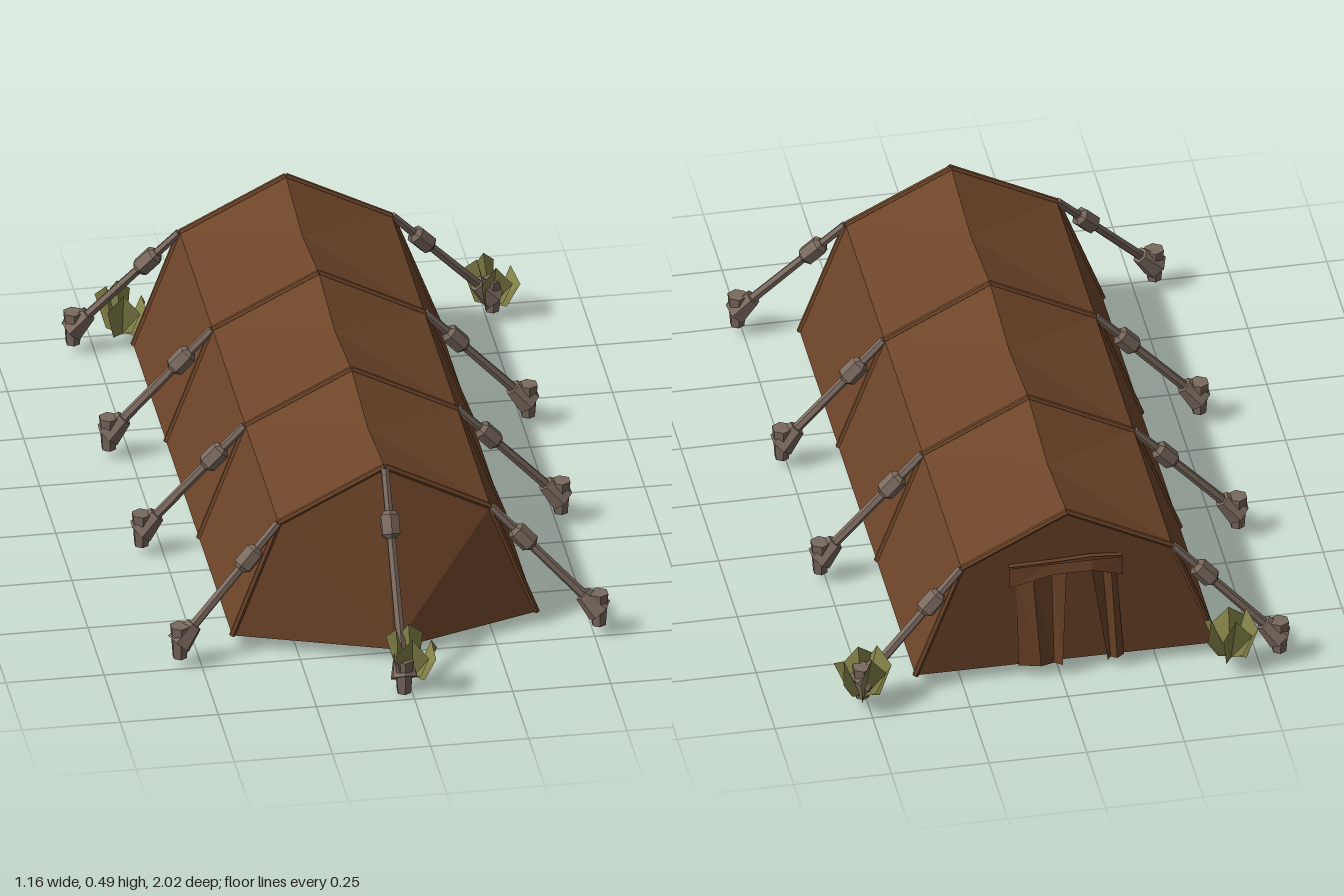
import * as THREE from 'three';

const mat = (name, color, side = THREE.FrontSide) =>
  Object.assign(new THREE.MeshStandardMaterial({ color, flatShading: true, side }), { name });

export function createModel() {
  const canvas = mat('canvas', 0x6e4529, THREE.DoubleSide);
  const wood = mat('weatheredWood', 0x7b6a5f);
  const leaf = mat('leaf', 0x8a884c, THREE.DoubleSide);

  const root = new THREE.Group();
  root.name = 'tent';
  const body = new THREE.Group();
  body.name = 'tentBody';
  body.position.x = -0.02;
  root.add(body);

  const V = (x, y, z) => new THREE.Vector3(x, y, z);

  const add = (name, geo, material, parent = body) => {
    const m = new THREE.Mesh(geo, material);
    m.name = name;
    parent.add(m);
    return m;
  };

  // Surface from polygons, each fanned out from its first corner
  const surface = (name, polys, material, parent) => {
    const p = [];
    for (const q of polys)
      for (let i = 1; i < q.length - 1; i++)
        for (const v of [q[0], q[i], q[i + 1]]) p.push(v.x, v.y, v.z);
    const g = new THREE.BufferGeometry();
    g.setAttribute('position', new THREE.Float32BufferAttribute(p, 3));
    g.computeVertexNormals();
    return add(name, g, material, parent);
  };

  // Straight bar between two points
  const bar = (name, a, b, r1, r2, sides, material, parent) => {
    const d = b.clone().sub(a);
    const m = add(name, new THREE.CylinderGeometry(r2, r1, d.length(), sides), material, parent);
    m.position.copy(a).add(b).multiplyScalar(0.5);
    m.quaternion.setFromUnitVectors(V(0, 1, 0), d.normalize());
    return m;
  };

  const frames = [0.655, 0.14, -0.37, -0.882];
  const front = frames[0], back = frames[3];
  const ground = 0.034, shoulderY = 0.346, peakY = 0.484;
  const foot = (s, z) => V(s * 0.388, ground, z);
  const shoulder = (s, z) => V(s * 0.27, shoulderY, z);
  const peak = (z) => V(0, peakY, z);

  // Side walls, and roof slopes whose ridge sags between the frames
  const walls = [], roof = [];
  for (const s of [-1, 1]) {
    walls.push([foot(s, front), foot(s, back), shoulder(s, back), shoulder(s, front)]);
    for (let i = 0; i < 3; i++) {
      const a = frames[i], b = frames[i + 1];
      const sag = V(0, 0.453, (a + b) / 2);
      roof.push([sag, peak(a), shoulder(s, a), shoulder(s, b), peak(b)]);
    }
  }
  surface('sideWalls', walls, canvas);
  surface('roof', roof, canvas);

  // Front panels meeting at a point on the ground
  const nose = V(0, ground, 0.792);
  surface('frontPanels', [-1, 1].map((s) => [nose, foot(s, front), shoulder(s, front), peak(front)]), canvas);
  surface('backPanel', [[foot(-1, back), foot(1, back), shoulder(1, back), peak(back), shoulder(-1, back)]], canvas);

  // Crumpled groundsheet, lifted towards the front and along its middle
  const ridge = [V(0, 0.09, 0.5), V(0.04, 0.06, 0.14), V(-0.03, 0.085, -0.4)];
  const floor = [];
  for (const s of [-1, 1]) {
    const lift = V(s * 0.33, 0.1, 0.52), side = V(s * 0.36, 0.06, -0.1);
    floor.push(
      [nose, foot(s, front), lift], [nose, lift, ridge[0]],
      [foot(s, back), foot(s, front), lift, side],
      [ridge[1], ridge[0], lift, side], [ridge[2], ridge[1], side, foot(s, back)],
    );
  }
  floor.push([ridge[2], foot(-1, back), foot(1, back)]);
  surface('groundsheet', floor, canvas);

  // Frame ribs over the canvas
  for (const z of frames) {
    const pts = [foot(-1, z), shoulder(-1, z), peak(z), shoulder(1, z), foot(1, z)];
    for (let i = 0; i < 4; i++) bar('frameRib', pts[i], pts[i + 1], 0.008, 0.008, 6, canvas);
  }

  // Rear door: gathered flaps under a drooping header
  const curtain = (name, top, bottom, topY, bottomY, depth) => {
    const polys = [];
    for (let i = 0; i < top.length - 1; i++)
      polys.push([
        V(top[i], topY[i], back - depth[i]), V(top[i + 1], topY[i + 1], back - depth[i + 1]),
        V(bottom[i + 1], bottomY[i + 1], back - depth[i + 1] - 0.005), V(bottom[i], bottomY[i], back - depth[i] - 0.005),
      ]);
    surface(name, polys, canvas);
  };
  const level = (y) => Array(4).fill(y);
  const pleats = [0.001, 0.016, 0.006, 0.02];
  curtain('doorFlapLeft', [0.13, 0.09, 0.04, 0.005], [0.125, 0.07, 0.035, 0.015], level(0.31), level(ground), pleats);
  curtain('doorFlapRight', [-0.125, -0.11, -0.09, -0.06], [-0.145, -0.125, -0.11, -0.1], level(0.31), level(ground), pleats);
  const headX = [-0.14, -0.06, 0.04, 0.15];
  curtain('doorHeader', headX, headX, [0.335, 0.345, 0.34, 0.335], [0.285, 0.315, 0.31, 0.28], [0.01, 0.023, 0.016, 0.01]);
  curtain('doorHeaderFold', headX, headX, [0.342, 0.352, 0.347, 0.342], [0.335, 0.345, 0.34, 0.335], [0, 0.005, 0.004, 0]);

  // Guy line with a chunky tensioner and a ground stake
  const guyLine = (top, end, grip, groundY) => {
    const g = new THREE.Group();
    g.name = 'guyLine';
    body.add(g);
    const d = end.clone().sub(top).normalize();
    const at = (p, t) => p.clone().addScaledVector(d, t);
    bar('line', top, end, 0.011, 0.013, 6, wood, g);
    const c = top.clone().lerp(end, grip);
    bar('tensioner', at(c, -0.025), at(c, 0.025), 0.026, 0.026, 6, wood, g);
    bar('tensionerTip', at(c, 0.025), at(c, 0.035), 0.026, 0.015, 6, wood, g);
    bar('tensionerTip', at(c, -0.035), at(c, -0.025), 0.015, 0.026, 6, wood, g);
    bar('stakeHead', at(end, -0.04), at(end, 0.022), 0.022, 0.036, 6, wood, g);
    const out = V(d.x, 0, d.z).normalize().multiplyScalar(0.012);
    const f = end.clone().add(out);
    bar('stake', V(f.x, groundY, f.z), V(f.x, end.y + 0.035, f.z), 0.019, 0.026, 6, wood, g);
  };
  const endZ = [0.725, 0.135, -0.375, -0.93];
  frames.forEach((z, i) => {
    for (const s of [-1, 1])
      guyLine(V(s * 0.272, 0.345, z), V(s * 0.522, 0.08, endZ[i]), 0.31, 0.025);
  });
  guyLine(V(0, 0.48, 0.66), V(0, 0.06, 0.945), 0.28, 0.002);

  // Clumps of broad folded leaves: [angle, reach, height, half width]
  const blades = [[0.35, 0.068, 0.11, 0.042], [1.75, 0.055, 0.125, 0.042], [3.1, 0.06, 0.14, 0.042], [4.6, 0.055, 0.13, 0.042]];
  const plant = (x, z, turn) => {
    const g = new THREE.Group();
    g.name = 'plant';
    g.position.set(x, ground, z);
    g.rotation.y = turn;
    root.add(g);
    for (const [a, reach, h, w] of blades) {
      const dx = Math.cos(a), dz = Math.sin(a);
      const p = (r, y, side) => V(dx * r - dz * side, y, dz * r + dx * side);
      const base = p(0.005, 0, 0), tip = p(reach * 0.7, h, 0);
      surface('leafBlade', [
        [base, p(0.035, 0.005, w * 0.6), p(reach, h * 0.7, w), tip],
        [base, tip, p(reach * 0.8, h * 0.6, -w), p(0.03, 0.015, -w * 0.5)],
      ], leaf, g);
    }
  };
  plant(0.005, 0.94, 0);
  plant(0.515, -0.945, 0.3);
  plant(-0.425, -0.95, 0.1);

  return root;
}
